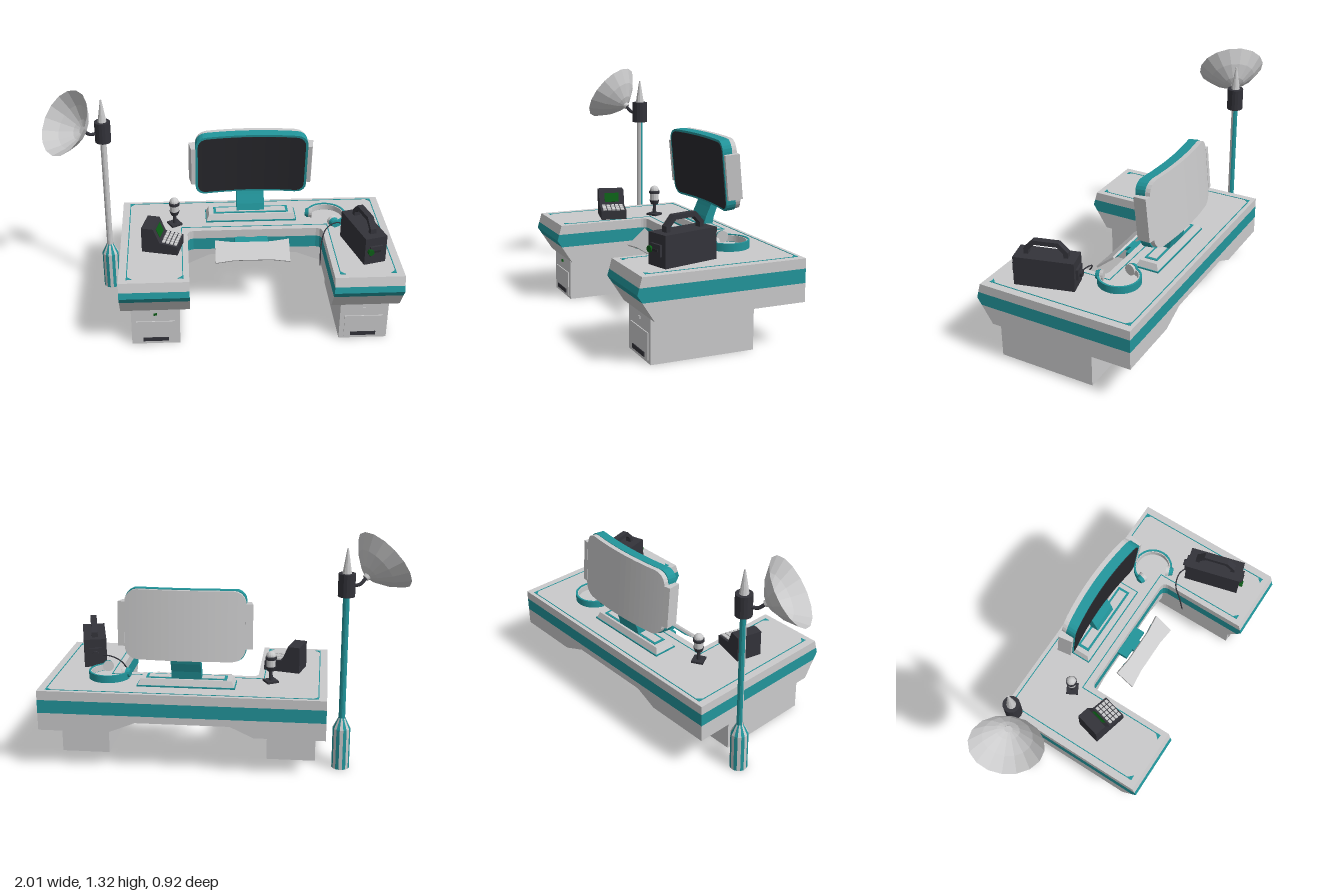
import * as THREE from 'three';

const mat = (name, color, side = THREE.FrontSide) =>
  new THREE.MeshStandardMaterial({ name, color, side, flatShading: true });

export function createModel() {
  const grey = mat('light grey', 0xcacacb, THREE.DoubleSide);
  const teal = mat('teal', 0x22959b, THREE.DoubleSide);
  const dark = mat('charcoal', 0x33333a);
  const black = mat('screen black', 0x28282d);
  const green = mat('display green', 0x0b5c16);
  const root = new THREE.Group();

  const add = (parent, name, geo, m, x = 0, y = 0, z = 0) => {
    const mesh = new THREE.Mesh(geo, m);
    mesh.name = name;
    mesh.position.set(x, y, z);
    parent.add(mesh);
    return mesh;
  };
  const group = (name, x = 0, y = 0, z = 0, ry = 0) => {
    const g = new THREE.Group();
    g.name = name;
    g.position.set(x, y, z);
    g.rotation.y = ry;
    root.add(g);
    return g;
  };
  const box = (w, h, d) => new THREE.BoxGeometry(w, h, d);
  const cyl = (a, b, h, n = 16) => new THREE.CylinderGeometry(a, b, h, n);
  const extrude = (pts, depth) => new THREE.ExtrudeGeometry(
    new THREE.Shape(pts.map(p => new THREE.Vector2(...p))), { depth, bevelEnabled: false, curveSegments: 6 });
  // profile in (z, y), centred along x
  const alongX = (pts, w) => extrude(pts, w).translate(0, 0, -w / 2).rotateY(-Math.PI / 2);
  // outline in (x, z), hanging down from y = 0
  const downY = (pts, h) => extrude(pts, h).rotateX(Math.PI / 2);

  // ---- Desk: two chamfered arms joined by a back section, in three layers
  const desk = group('desk');
  const armLayers = [
    ['armTop', grey, [[-0.46, 0.41], [0.45, 0.41], [0.435, 0.463], [-0.46, 0.463]]],
    ['armBand', teal, [[-0.46, 0.335], [0.434, 0.335], [0.46, 0.375], [0.45, 0.41], [-0.46, 0.41]]],
    ['armLower', grey, [[-0.46, 0.235], [0.37, 0.235], [0.434, 0.335], [-0.46, 0.335]]],
  ];
  for (const x of [-0.385, 0.805])
    for (const [name, m, pts] of armLayers) add(desk, name, alongX(pts, 0.39), m, x);

  const backOutline = [[-0.19, -0.46], [0.61, -0.46], [0.61, -0.065], [0.606, -0.08], [0.597, -0.093], [0.575, -0.1],
    [-0.155, -0.1], [-0.177, -0.093], [-0.186, -0.08], [-0.19, -0.065]];
  add(desk, 'backTop', downY(backOutline, 0.053), grey, 0, 0.463);
  add(desk, 'backBand', downY(backOutline, 0.075), teal, 0, 0.41);
  add(desk, 'backLower', extrude([[-0.19, 0.235], [-0.06, 0.296], [0.46, 0.296], [0.61, 0.235],
    [0.61, 0.335], [-0.19, 0.335]], 0.36), grey, 0, 0, -0.46);

  // inlaid trim lines and corner marks
  const trim = [[-0.535, -0.435], [0.955, -0.435], [0.955, 0.4], [0.645, 0.4], [0.645, -0.14],
    [-0.225, -0.14], [-0.225, 0.4], [-0.535, 0.4]];
  trim.forEach(([x, z], i) => {
    const [x2, z2] = trim[(i + 1) % trim.length];
    if (z !== 0.4 || z2 !== 0.4)
      add(desk, 'trimLine', box(Math.abs(x2 - x) + 0.005, 0.002, Math.abs(z2 - z) + 0.005), teal,
        (x + x2) / 2, 0.464, (z + z2) / 2);
    if (z === -0.14) return;
    const sx = x === -0.535 || x === 0.645 ? 0.03 : -0.03, sz = z < 0 ? 0.03 : -0.03;
    add(desk, 'cornerMark', downY([[0, 0], [sx, 0], [0, sz]], 0.002), teal, x, 0.465, z);
  });

  // ---- Drawer pedestals
  for (const x of [-0.385, 0.803]) {
    const p = group('pedestal', x, 0, 0);
    add(p, 'cabinet', box(0.275, 0.236, 0.565), grey, 0, 0.118, 0.083);
    add(p, 'drawerFront', box(0.22, 0.14, 0.006), grey, 0, 0.085, 0.368);
    add(p, 'drawerHandle', box(0.145, 0.024, 0.006), dark, 0, 0.034, 0.372);
    add(p, 'drawerLight', box(0.02, 0.014, 0.006), x < 0 ? green : grey, 0, 0.203, 0.367);
  }

  // ---- Antenna mast with striped foot
  const mast = group('antenna', -0.665, 0, -0.258);
  const foot = [[0, 0], [0.05, 0], [0.05, 0.235], [0.02, 0.295]].map(p => new THREE.Vector2(...p));
  for (let i = 0; i < 16; i++)
    add(mast, 'footStripe', new THREE.LatheGeometry(foot, 1, (i - 0.5) * Math.PI / 8, Math.PI / 8), i % 2 ? teal : grey);
  const pole = [new THREE.Vector2(0.018, 0.28), new THREE.Vector2(0.018, 1)];
  add(mast, 'poleFront', new THREE.LatheGeometry(pole, 6, -Math.PI / 2, Math.PI), grey);
  add(mast, 'poleBack', new THREE.LatheGeometry(pole, 6, Math.PI / 2, Math.PI), teal);
  add(mast, 'mastHead', cyl(0.046, 0.046, 0.125), dark, 0, 1.05);
  add(mast, 'mastTip', cyl(0.004, 0.026, 0.135, 10), grey, 0, 1.18);

  // dish opening up, outward and forward
  const apex = new THREE.Vector3(-0.77, 1.082, -0.205);
  const aim = new THREE.Vector3(-0.68, 0.57, 0.46).normalize();
  const dish = add(root, 'dish', new THREE.LatheGeometry(
    [[0.001, 0], [0.06, 0.022], [0.13, 0.072], [0.194, 0.14]].map(p => new THREE.Vector2(...p)), 16), grey);
  dish.position.copy(apex);
  dish.quaternion.setFromUnitVectors(new THREE.Vector3(0, 1, 0), aim);
  const hub = add(root, 'dishHub', cyl(0.022, 0.018, 0.02, 12), grey);
  hub.position.copy(apex);
  hub.quaternion.copy(dish.quaternion);
  add(root, 'dishArm', new THREE.TubeGeometry(new THREE.CatmullRomCurve3([
    new THREE.Vector3(-0.69, 1.045, -0.25), new THREE.Vector3(-0.735, 1.047, -0.228), apex]), 10, 0.01, 8), dark);

  // ---- Curved monitor: rounded panels bent towards the user
  const bentPanel = (w, h, r, d, sag = 0.03) => {
    const g = new THREE.BoxGeometry(1, 1, 1, 24, 1, 1), p = g.attributes.position;
    for (let i = 0; i < p.count; i++) {
      const x = Math.sin(p.getX(i) * Math.PI) * w / 2;
      const over = Math.max(0, Math.abs(x) - (w / 2 - r));
      const half = h / 2 - r + Math.sqrt(Math.max(0, r * r - over * over));
      p.setXYZ(i, x, Math.sign(p.getY(i)) * half, p.getZ(i) * d + sag * ((x / 0.33) ** 2 - 1));
    }
    g.computeVertexNormals();
    return g;
  };
  const monitor = group('monitor', 0.195, 0.817, -0.297);
  monitor.rotation.x = 0.1;
  add(monitor, 'bezel', bentPanel(0.66, 0.39, 0.06, 0.055), teal, 0, 0, 0.025);
  add(monitor, 'screen', bentPanel(0.632, 0.365, 0.05, 0.006), black, 0, 0, 0.053);
  add(monitor, 'backShell', bentPanel(0.66, 0.385, 0.07, 0.03), grey, 0, 0, -0.016);
  for (const s of [-1, 1]) {
    const wing = add(monitor, 'sideWing', box(0.04, 0.245, 0.08), grey, s * 0.342, 0, 0.01);
    wing.rotation.y = -s * 0.18;
  }

  // curved neck and stepped foot plate
  add(root, 'monitorNeck', alongX([[-0.245, 0.49], [-0.262, 0.55], [-0.285, 0.6], [-0.31, 0.66], [-0.345, 0.66],
    [-0.33, 0.6], [-0.312, 0.55], [-0.3, 0.49]], 0.165), teal, 0.193);
  const base = group('monitorBase', 0.195, 0, -0.265);
  const taper = (w, d, y0, h, inset) => {
    const g = box(w, h, d), p = g.attributes.position;
    for (let i = 0; i < p.count; i++)
      if (p.getY(i) > 0) p.setXYZ(i, p.getX(i) - Math.sign(p.getX(i)) * inset, h / 2, p.getZ(i) - Math.sign(p.getZ(i)) * inset);
    return g.translate(0, y0 + h / 2, 0);
  };
  add(base, 'baseRim', box(0.545, 0.008, 0.14), teal, 0, 0.467);
  add(base, 'baseBody', taper(0.535, 0.13, 0.471, 0.034, 0.014), grey);
  add(base, 'baseInlay', box(0.45, 0.004, 0.075), teal, 0, 0.506);
  add(base, 'baseTop', box(0.42, 0.004, 0.05), grey, 0, 0.508);

  // ---- Waisted keyboard plate on a bracket
  const tray = group('keyboard', 0.187, 0.392, 0.028);
  tray.rotation.x = 0.69;
  const waisted = (w, d, h) => downY([[-w, -d], [-w / 2, -d * 0.8], [w / 2, -d * 0.8], [w, -d],
    [w, d], [w / 2, d * 0.8], [-w / 2, d * 0.8], [-w, d]], h);
  add(tray, 'keyboardPlate', waisted(0.218, 0.07, 0.012), grey, 0, 0.008);
  add(tray, 'keyboardUnderside', waisted(0.16, 0.06, 0.008), teal, 0, -0.004);
  for (const s of [-1, 1]) add(root, 'bracketArm', box(0.065, 0.03, 0.07), teal, 0.187 + s * 0.065, 0.4, -0.07);
  add(root, 'bracketCentre', box(0.07, 0.03, 0.1), teal, 0.187, 0.4, -0.045);

  // ---- Sloped terminal with keypad, facing the seat
  const term = group('terminal', -0.335, 0.463, 0.065, -0.25);
  add(term, 'terminalBody', extrude([[-0.105, 0], [0.105, 0], [0.105, 0.052], [0, 0.068], [-0.035, 0.153],
    [-0.105, 0.153]], 0.15).translate(0, 0, -0.075), dark);
  const display = add(term, 'terminalDisplay', box(0.004, 0.055, 0.085), green, -0.0165, 0.111, 0);
  display.rotation.z = 0.39;
  for (let i = 0; i < 4; i++)
    for (let j = 0; j < 5; j++) {
      const x = 0.02 + i * 0.023;
      add(term, 'key', box(0.017, 0.01, 0.02), grey, x, 0.071 - x * 0.152, -0.052 + j * 0.026).rotation.z = -0.15;
    }

  // ---- Carry case radio
  const radio = group('radio', 0.81, 0.463, 0.135, 0.26);
  add(radio, 'radioBody', box(0.13, 0.165, 0.33), dark, 0, 0.0825);
  for (const s of [-1, 1]) add(radio, 'radioEndPlate', box(0.075, 0.06, 0.014), dark, 0, 0.085, s * 0.171);
  add(radio, 'radioKnob', cyl(0.018, 0.018, 0.02, 10).rotateX(Math.PI / 2), green, -0.035, 0.085, 0.178);
  add(radio, 'radioSlot', box(0.045, 0.012, 0.006), black, 0, 0.085, 0.179);
  add(radio, 'radioRearKnob', cyl(0.02, 0.02, 0.025, 10).rotateX(Math.PI / 2), dark, 0, 0.08, -0.18);
  add(radio, 'radioHandle', alongX([[-0.12, 0.16], [-0.12, 0.195], [-0.07, 0.247], [0.07, 0.247], [0.12, 0.195],
    [0.12, 0.16], [0.095, 0.16], [0.095, 0.188], [0.06, 0.222], [-0.06, 0.222], [-0.095, 0.188], [-0.095, 0.16]], 0.035), dark);

  // ---- Headphones lying on the desk
  const phones = group('headphones', 0.645, 0.468, -0.2);
  const arc = (r0, r1, h) => {
    const s = new THREE.Shape();
    s.absarc(0, 0, r1, -2.95, 1.25, false);
    s.absarc(0, 0, r0, 1.25, -2.95, true);
    return new THREE.ExtrudeGeometry(s, { depth: h, bevelEnabled: false, curveSegments: 24 }).rotateX(Math.PI / 2);
  };
  add(phones, 'headband', arc(0.106, 0.117, 0.042), teal, 0, 0.043);
  add(phones, 'headbandPad', arc(0.1, 0.106, 0.034), grey, 0, 0.039);
  for (const a of [-2.95, 1.25]) {
    const cup = new THREE.Group();
    cup.name = 'earCup';
    cup.position.set(Math.cos(a) * 0.108, 0.034, Math.sin(a) * 0.108);
    cup.rotation.y = -a;
    phones.add(cup);
    add(cup, 'cupShell', cyl(0.022, 0.03, 0.022, 14).rotateZ(-Math.PI / 2), teal, 0.006);
    add(cup, 'cupPad', cyl(0.032, 0.026, 0.022, 14).rotateZ(Math.PI / 2), grey, -0.014);
  }

  // ---- Hanging cable
  add(root, 'cable', new THREE.TubeGeometry(new THREE.CatmullRomCurve3([[0.74, 0.53, -0.02], [0.68, 0.535, -0.035],
    [0.62, 0.5, -0.02], [0.59, 0.42, 0.03], [0.585, 0.3, 0.06]].map(p => new THREE.Vector3(...p))), 24, 0.004, 6), dark);

  // ---- Desk microphone
  const mic = group('microphone', -0.265, 0.463, -0.185, 0.5);
  add(mic, 'micBase', box(0.068, 0.012, 0.068), dark, 0, 0.006);
  add(mic, 'micStem', cyl(0.009, 0.012, 0.065, 10), dark, 0, 0.04);
  add(mic, 'micCradle', cyl(0.03, 0.022, 0.025, 12), dark, 0, 0.08);
  add(mic, 'micBody', cyl(0.026, 0.026, 0.06, 12), grey, 0, 0.115);
  add(mic, 'micRing', cyl(0.032, 0.032, 0.014, 12), dark, 0, 0.14);
  add(mic, 'micCap', new THREE.SphereGeometry(0.028, 12, 6, 0, Math.PI * 2, 0, Math.PI / 2), grey, 0, 0.152);

  return root;
}
